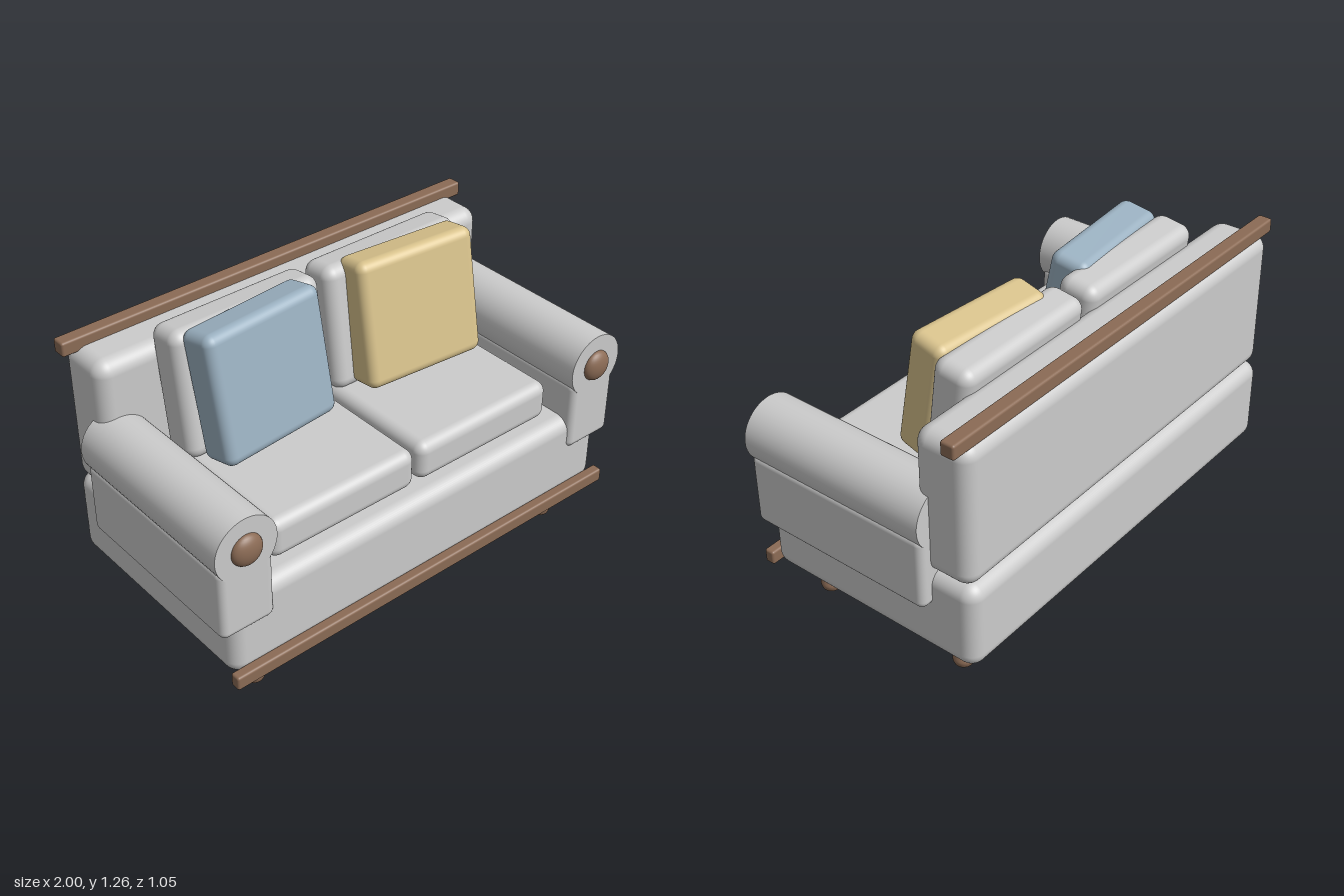
import * as THREE from 'three';
import { RoundedBoxGeometry } from 'three/addons/geometries/RoundedBoxGeometry.js';

const fabric = new THREE.MeshStandardMaterial({ color: 0xcccccc });
const wood = new THREE.MeshStandardMaterial({ color: 0x8b6b55 });
const blue = new THREE.MeshStandardMaterial({ color: 0x9ab0c0 });
const yellow = new THREE.MeshStandardMaterial({ color: 0xd8c28c });

export function createModel() {
  const sofa = new THREE.Group();
  sofa.name = 'sofa';

  const add = (name, geometry, material, x, y, z) => {
    const mesh = new THREE.Mesh(geometry, material);
    mesh.name = name;
    mesh.position.set(x, y, z);
    sofa.add(mesh);
    return mesh;
  };
  // Rounded box given by its centre, size and edge radius
  const block = (name, material, [x, y, z], [w, h, d], r) =>
    add(name, new RoundedBoxGeometry(w, h, d, 5, r), material, x, y, z);

  // Main upholstered body
  block('base', fabric, [0, 0.36, -0.023], [1.87, 0.37, 0.995], 0.06);
  block('backrest', fabric, [0, 0.842, -0.388], [1.87, 0.595, 0.243], 0.06);

  // Wooden rails
  block('topRail', wood, [0, 1.152, -0.46], [1.95, 0.06, 0.06], 0.01);
  block('frontRail', wood, [0, 0.195, 0.493], [1.9, 0.06, 0.045], 0.01);

  // Turned leg: wide top, narrow neck, flared foot
  const legProfile = new THREE.SplineCurve([
    [0.036, 0], [0.043, 0.022], [0.036, 0.045], [0.028, 0.068],
    [0.037, 0.095], [0.046, 0.122], [0.049, 0.15], [0.05, 0.2],
  ].map(([r, y]) => new THREE.Vector2(r, y))).getPoints(24);
  const legGeometry = new THREE.LatheGeometry([new THREE.Vector2(0, 0), new THREE.Vector2(0.036, 0), ...legProfile], 24);

  const rollGeometry = new THREE.CylinderGeometry(0.133, 0.133, 0.825, 48).rotateX(Math.PI / 2);
  const knobGeometry = new THREE.SphereGeometry(0.065, 32, 20).scale(1, 1, 0.55);

  for (const [side, s] of [['left', 1], ['right', -1]]) {
    // Seat and leaning back cushion
    block(side + 'SeatCushion', fabric, [s * 0.352, 0.635, 0.06], [0.686, 0.17, 0.69], 0.045);
    block(side + 'BackCushion', fabric, [s * 0.352, 0.96, -0.195], [0.675, 0.53, 0.17], 0.05)
      .rotation.x = -0.13;

    // Loose pillow, leaning back and turned towards the middle
    block(side + 'Pillow', s > 0 ? yellow : blue, [s * 0.37, 0.993, -0.06], [0.55, 0.53, 0.165], 0.04)
      .rotation.set(-0.19, -s * 0.085, 0, 'YXZ');

    // Arm: padded panel, rolled top and wooden knob
    block(side + 'ArmPanel', fabric, [s * 0.868, 0.558, 0.077], [0.234, 0.31, 0.825], 0.03);
    add(side + 'ArmRoll', rollGeometry, fabric, s * 0.867, 0.77, 0.077);
    add(side + 'ArmKnob', knobGeometry, wood, s * 0.867, 0.77, 0.49);

    // Legs
    add(side + 'FrontLeg', legGeometry, wood, s * 0.766, 0, 0.355);
    add(side + 'BackLeg', legGeometry, wood, s * 0.766, 0, -0.325);
  }

  return sofa;
}
